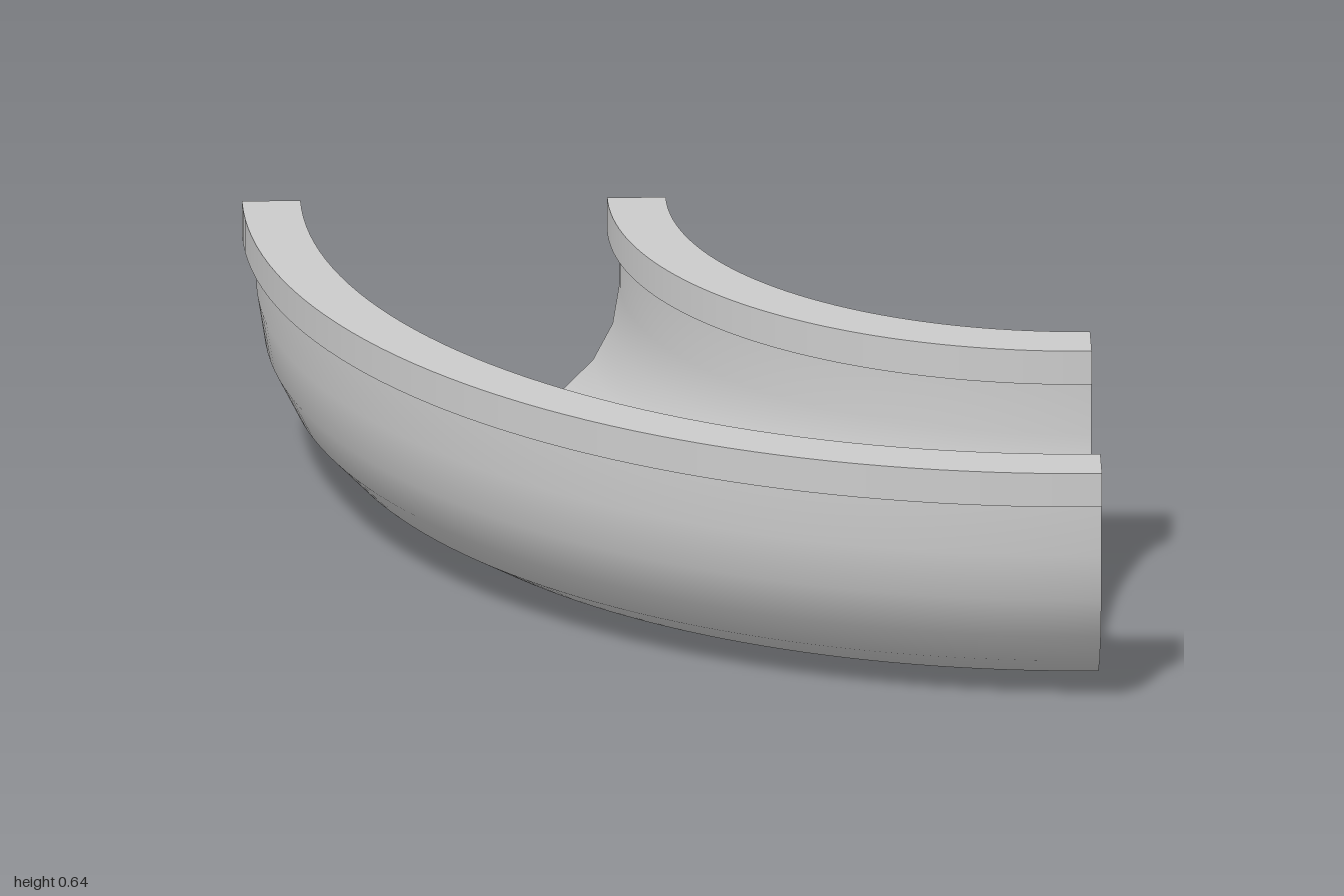
import * as THREE from 'three';

const material = new THREE.MeshStandardMaterial({ color: 0xcccccc, side: THREE.DoubleSide });
const MID = 1.495;      // bend radius of the channel centre line
const ARC_Y = 0.425;    // height where the straight walls start
const RIM_LOW = 0.56, RIM_TOP = 0.645;

// U-shaped half-pipe section, from the inner wall round to the outer wall
function uSection(halfWidth, bottom) {
  const n = 11, points = [new THREE.Vector2(MID - halfWidth, RIM_LOW)];
  const depth = (ARC_Y - bottom) / Math.cos(Math.PI / n / 2);
  for (let i = 0; i <= n; i++) {
    const a = (i / n) * Math.PI;
    points.push(new THREE.Vector2(MID - halfWidth * Math.cos(a), ARC_Y - depth * Math.sin(a)));
  }
  points.push(new THREE.Vector2(MID + halfWidth, RIM_LOW));
  return points;
}

// Sweep a section through the quarter bend
function sweep(name, points) {
  const geometry = new THREE.LatheGeometry(points, 48, -Math.PI / 2, Math.PI / 2);
  const mesh = new THREE.Mesh(geometry, material);
  mesh.name = name;
  return mesh;
}

// Hollow rectangular rim, open at both ends, with sharp edges
function rim(name, r0, r1) {
  const group = new THREE.Group();
  group.name = name;
  const corners = [[r0, RIM_LOW], [r1, RIM_LOW], [r1, RIM_TOP], [r0, RIM_TOP]]
    .map(([r, y]) => new THREE.Vector2(r, y));
  ['Underside', 'OuterSide', 'Top', 'InnerSide'].forEach((side, i) =>
    group.add(sweep(name + side, [corners[i], corners[(i + 1) % 4]])));
  return group;
}

export function createModel() {
  const model = new THREE.Group();
  model.name = 'curvedChannel';

  // Everything turns about the corner of the quarter bend
  const bend = new THREE.Group();
  bend.name = 'bend';
  bend.position.set(1, 0, -1);
  model.add(bend);

  // Channel shell
  const outer = uSection(0.47, 0);
  const inner = uSection(0.397, 0.075);
  bend.add(sweep('channelOutside', outer));
  bend.add(sweep('channelInside', inner.slice().reverse()));

  // Flat wall ends
  const endShape = new THREE.Shape([...outer, ...inner.slice().reverse()]);
  [['backEnd', Math.PI], ['leftEnd', -Math.PI / 2]].forEach(([name, turn]) => {
    const end = new THREE.Mesh(new THREE.ShapeGeometry(endShape), material);
    end.name = name;
    end.rotation.y = turn;
    bend.add(end);
  });

  // Rims on top of both walls
  bend.add(rim('outerRim', 1.86, 2));
  bend.add(rim('innerRim', 0.987, 1.127));

  return model;
}
